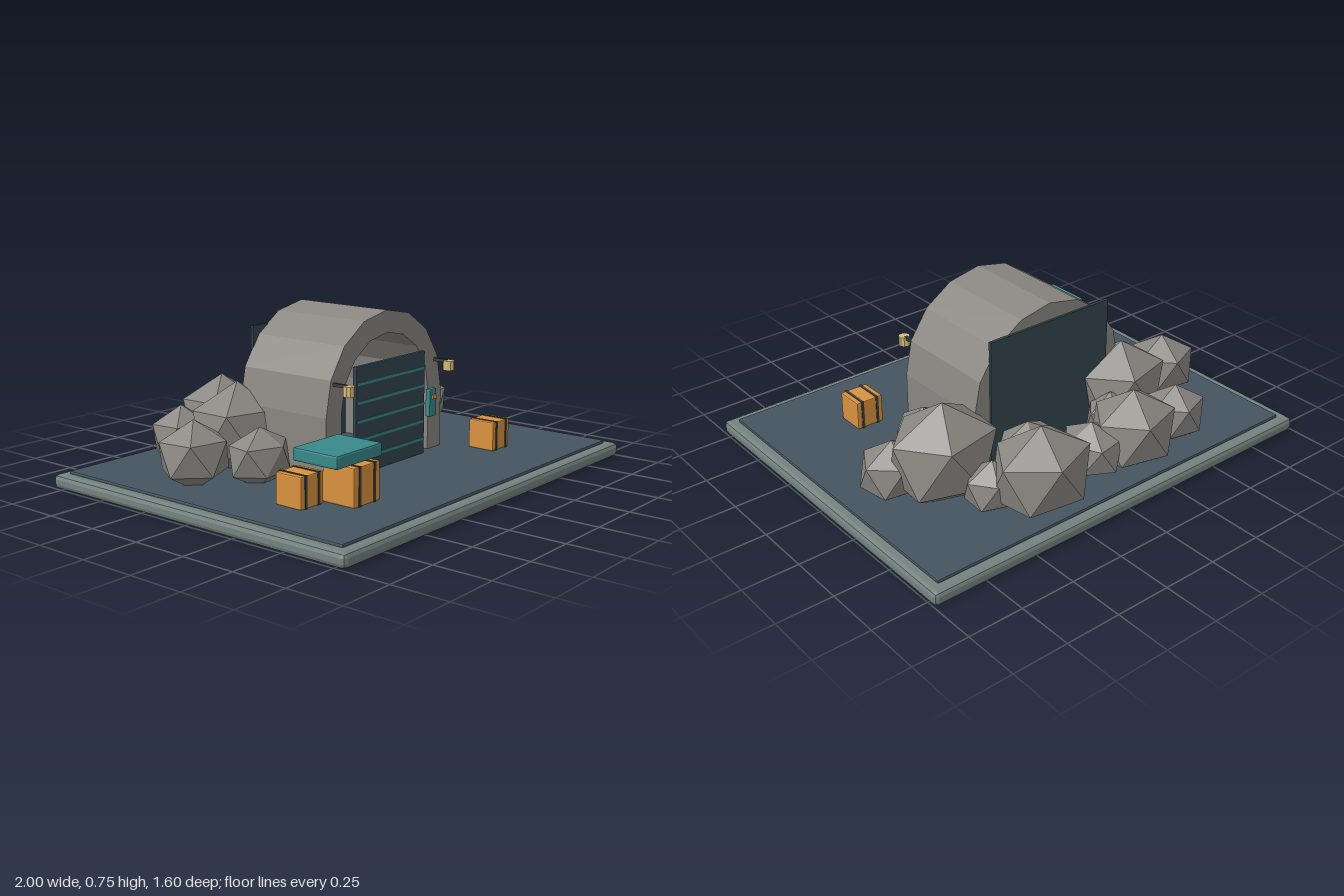
import * as THREE from 'three';
import { RoundedBoxGeometry } from 'three/addons/geometries/RoundedBoxGeometry.js';

const mat = (color) => new THREE.MeshStandardMaterial({ color, flatShading: true });
const M = {
  base: mat(0x74827f), floor: mat(0x44545f), stone: mat(0x8a8782), door: mat(0x34464f),
  teal: mat(0x39888a), crate: mat(0xd9923f), dark: mat(0x3a3f40), lamp: mat(0xd8bd7a),
};

function add(parent, name, geometry, material, x = 0, y = 0, z = 0) {
  const mesh = new THREE.Mesh(geometry, material);
  mesh.name = name;
  mesh.position.set(x, y, z);
  parent.add(mesh);
  return mesh;
}

// Box with a single chamfer on every edge
const chamferBox = (w, h, d, r) => new RoundedBoxGeometry(w, h, d, 1, r);

// Tunnel profile: two legs joined by a half ring of eight facets
function tunnelGeometry(outer, inner, bottom, spring, depth) {
  const pts = [new THREE.Vector2(outer, bottom)];
  const arc = (r, i) => {
    const a = (i / 8) * Math.PI;
    return new THREE.Vector2(r * Math.cos(a), spring + r * Math.sin(a));
  };
  for (let i = 0; i <= 8; i++) pts.push(arc(outer, i));
  pts.push(new THREE.Vector2(-outer, bottom), new THREE.Vector2(-inner, bottom));
  for (let i = 8; i >= 0; i--) pts.push(arc(inner, i));
  pts.push(new THREE.Vector2(inner, bottom));
  return new THREE.ExtrudeGeometry(new THREE.Shape(pts), { depth, bevelEnabled: false });
}

// Crate with two straps wrapped around it
function addCrate(parent, x, z, size, floorY) {
  const g = new THREE.Group();
  g.name = 'crate';
  g.position.set(x, floorY + size / 2, z);
  add(g, 'crateBody', chamferBox(size, size, size, 0.005), M.crate);
  for (const s of [-1, 1]) {
    add(g, 'crateStrap', new THREE.BoxGeometry(0.012, size + 0.004, size + 0.006), M.dark, s * size * 0.29);
  }
  parent.add(g);
}

export function createModel() {
  const model = new THREE.Group();
  model.name = 'hangarDiorama';
  const floorY = 0.075;

  // Ground
  add(model, 'basePlate', chamferBox(2, 0.062, 1.6, 0.02), M.base, 0, 0.031);
  add(model, 'floorSlab', chamferBox(1.9, 0.035, 1.5, 0.006), M.floor, 0, floorY - 0.0175);

  // Tunnel and back wall
  add(model, 'tunnel', tunnelGeometry(0.4, 0.303, 0.06, 0.345, 0.48), M.stone, 0, 0, -0.27);
  add(model, 'backWall', new THREE.BoxGeometry(0.64, 0.6, 0.014), M.door, 0, 0.368, -0.273);

  // Door with ribs
  const door = new THREE.Group();
  door.name = 'door';
  model.add(door);
  add(door, 'doorPanel', chamferBox(0.48, 0.465, 0.02, 0.004), M.door, 0, 0.305, 0.228);
  for (let i = 0; i < 5; i++) {
    add(door, 'doorRib', new THREE.BoxGeometry(0.47, 0.012, 0.01), M.teal, 0, 0.143 + i * 0.08, 0.236);
  }

  // Control box beside the door
  add(model, 'controlBox', chamferBox(0.05, 0.125, 0.025, 0.005), M.teal, 0.27, 0.303, 0.251);
  add(model, 'controlButton', new THREE.BoxGeometry(0.024, 0.018, 0.01), M.crate, 0.274, 0.33, 0.266);

  // Lamps on brackets
  for (const s of [-1, 1]) {
    add(model, 'lampArm', new THREE.BoxGeometry(0.014, 0.014, 0.07), M.dark, s * 0.35, 0.48, 0.243);
    add(model, 'lamp', new THREE.CylinderGeometry(0.025, 0.025, 0.043, 10), M.lamp, s * 0.35, 0.463, 0.289);
  }

  // Crates and the hovering slab
  addCrate(model, -0.684, 0.314, 0.132, floorY);
  addCrate(model, -0.523, 0.442, 0.16, floorY);
  addCrate(model, 0.518, 0.398, 0.13, floorY);
  add(model, 'hoverSlab', chamferBox(0.275, 0.055, 0.222, 0.008), M.teal, -0.603, 0.29, 0.44);

  // Boulders: x, z, top height, half width, half height, half depth
  const boulders = [
    [-0.41, -0.28, 0.44, 0.21, 0.21, 0.17],
    [-0.73, -0.22, 0.34, 0.15, 0.15, 0.14],
    [-0.535, -0.035, 0.3, 0.145, 0.13, 0.11],
    [-0.485, -0.55, 0.31, 0.135, 0.14, 0.12],
    [-0.2, -0.58, 0.4, 0.19, 0.19, 0.165],
    [0.01, -0.555, 0.31, 0.12, 0.13, 0.135],
    [0.325, -0.6, 0.435, 0.215, 0.21, 0.175],
    [0.48, -0.485, 0.28, 0.12, 0.12, 0.105],
    [0.565, -0.272, 0.47, 0.235, 0.235, 0.193],
    [0.735, -0.155, 0.315, 0.14, 0.14, 0.125],
    [0.475, -0.015, 0.31, 0.125, 0.13, 0.115],
    [0.2, -0.37, 0.3, 0.155, 0.13, 0.1],
    [-0.26, -0.38, 0.28, 0.12, 0.12, 0.08],
  ];
  const ringScale = 0.894; // widest ring of a point-up icosahedron
  boulders.forEach(([x, z, top, w, h, d], i) => {
    const geo = new THREE.IcosahedronGeometry(1, 0);
    geo.rotateZ(Math.atan(2 / (1 + Math.sqrt(5))));
    geo.rotateY(Math.PI + 0.15 * Math.sin(i * 2.3));
    geo.scale(w / ringScale, h, d / ringScale);
    add(model, 'boulder', geo, M.stone, x, Math.max(top - h, h + 0.01), z);
  });

  return model;
}
